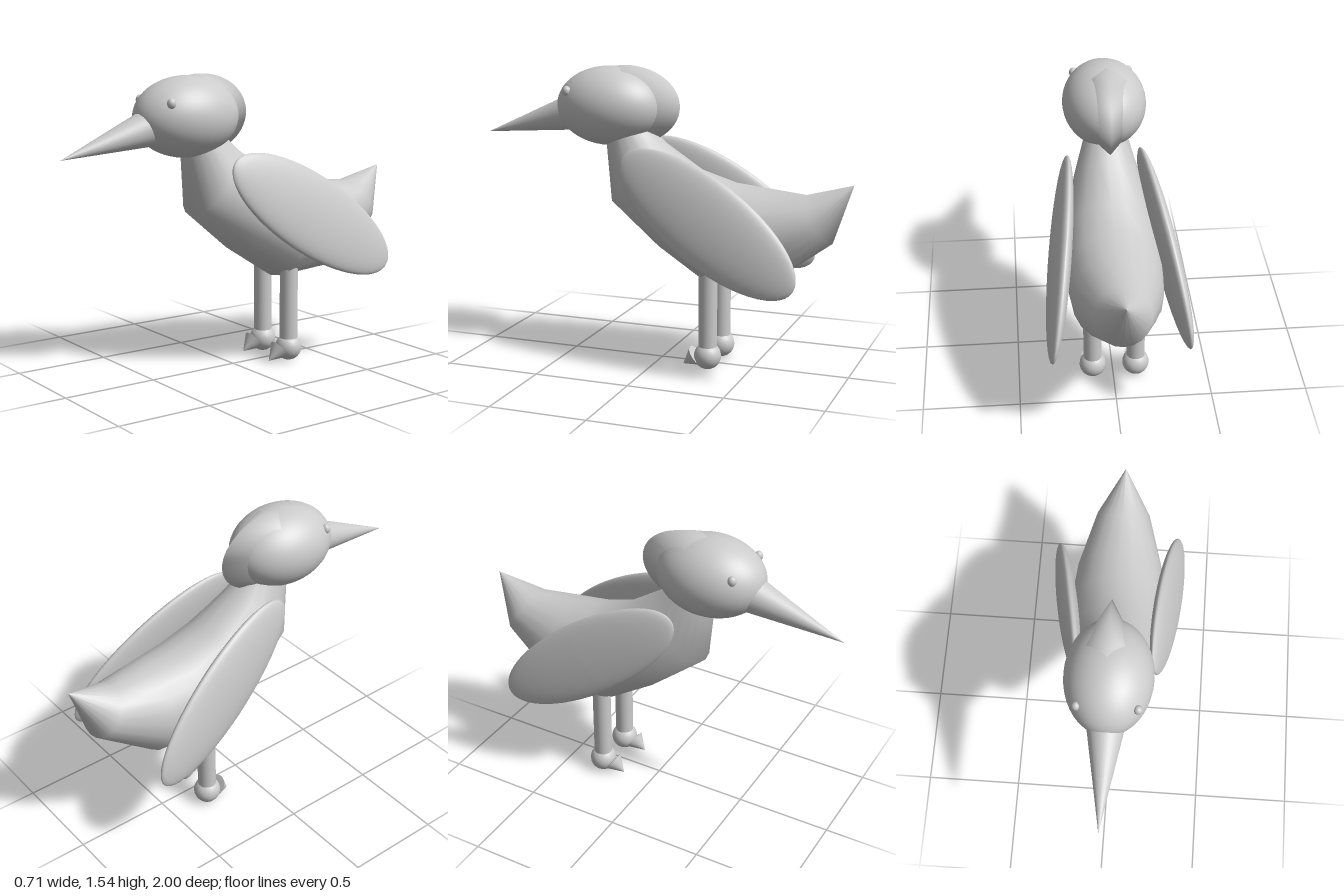
import * as THREE from 'three';

const material = new THREE.MeshStandardMaterial({ color: 0xcccccc });

function addMesh(parent, name, geometry, position = [0, 0, 0]) {
  const mesh = new THREE.Mesh(geometry, material);
  mesh.name = name;
  mesh.position.set(...position);
  parent.add(mesh);
  return mesh;
}

function ellipsoid(rx, ry, rz, width = 40, height = 28) {
  return new THREE.SphereGeometry(1, width, height).scale(rx, ry, rz);
}

// Cone standing between a base centre and a tip
function addSpike(parent, name, base, tip, radius) {
  const a = new THREE.Vector3(...base);
  const b = new THREE.Vector3(...tip);
  const dir = b.clone().sub(a);
  const length = dir.length();
  const geometry = new THREE.ConeGeometry(radius, length, 32).translate(0, length / 2, 0);
  const mesh = addMesh(parent, name, geometry, base);
  mesh.quaternion.setFromUnitVectors(new THREE.Vector3(0, 1, 0), dir.normalize());
}

// Skin over slanted elliptical rings: [topZ, topY, bottomZ, bottomY, halfWidth]
function loft(rings, sides) {
  const positions = [];
  const index = [];
  rings.forEach(([tz, ty, bz, by, w], i) => {
    for (let j = 0; j < sides; j++) {
      const a = (j / sides) * Math.PI * 2;
      const c = Math.cos(a) / 2;
      positions.push(Math.sin(a) * w, (ty + by) / 2 + c * (ty - by), (tz + bz) / 2 + c * (tz - bz));
      if (i === rings.length - 1) continue;
      const p = i * sides + j;
      const q = i * sides + ((j + 1) % sides);
      index.push(p, q, p + sides, q, q + sides, p + sides);
    }
  });
  const geometry = new THREE.BufferGeometry();
  geometry.setAttribute('position', new THREE.Float32BufferAttribute(positions, 3));
  geometry.setIndex(index);
  geometry.computeVertexNormals();
  return geometry;
}

// Flat ellipsoid tilted nose-up, then sheared sideways so it hangs outward
function wing(width, length, tilt, leanY, leanZ) {
  const geometry = ellipsoid(0.052, width, length).rotateX(-tilt);
  const p = geometry.attributes.position;
  for (let i = 0; i < p.count; i++) {
    p.setX(i, p.getX(i) + leanY * p.getY(i) + leanZ * p.getZ(i));
  }
  geometry.computeVertexNormals();
  return geometry;
}

export function createModel() {
  const bird = new THREE.Group();
  bird.name = 'bird';

  // Body from the neck to the pointed, upturned tail
  addMesh(bird, 'body', loft([
    [0.10, 1.25, 0.31, 1.20, 0.10],
    [-0.01, 1.15, 0.27, 0.83, 0.17],
    [-0.20, 1.02, 0.00, 0.61, 0.23],
    [-0.38, 0.965, -0.25, 0.45, 0.252],
    [-0.52, 0.95, -0.60, 0.47, 0.225],
    [-0.75, 0.925, -0.90, 0.69, 0.14],
    [-1.00, 0.99, -1.00, 0.99, 0],
  ], 20));

  // Head with a diamond-section crest at the back
  addMesh(bird, 'head', ellipsoid(0.215, 0.205, 0.285), [0, 1.33, 0.29]);
  addMesh(bird, 'crest', ellipsoid(0.16, 0.205, 0.29, 4, 28), [-0.01, 1.335, 0.20]);
  addSpike(bird, 'beak', [0, 1.30, 0.45], [0, 1.16, 1.0], 0.105);
  addMesh(bird, 'rightEye', ellipsoid(0.022, 0.026, 0.022, 16, 12), [-0.14, 1.412, 0.47]);
  addMesh(bird, 'leftEye', ellipsoid(0.022, 0.026, 0.022, 16, 12), [0.147, 1.412, 0.47]);

  // Wings, each hanging at its own slight angle
  addMesh(bird, 'leftWing', wing(0.21, 0.55, 0.562, -0.182, -0.016), [0.268, 0.805, -0.32]);
  addMesh(bird, 'rightWing', wing(0.20, 0.538, 0.61, 0.07, 0.149), [-0.26, 0.81, -0.275]);

  // Legs with ball feet and a pointed toe
  for (const [side, x] of [['left', 0.108], ['right', -0.12]]) {
    const leg = new THREE.Group();
    leg.name = side + 'Leg';
    leg.position.set(x, 0, -0.287);
    addMesh(leg, 'shank', new THREE.CylinderGeometry(0.048, 0.048, 0.5, 24), [0, 0.36, 0]);
    addMesh(leg, 'foot', ellipsoid(0.07, 0.07, 0.07, 24, 16), [0, 0.074, 0]);
    addSpike(leg, 'toe', [0, 0.068, 0.062], [0, 0.017, 0.132], 0.056);
    bird.add(leg);
  }
  return bird;
}
